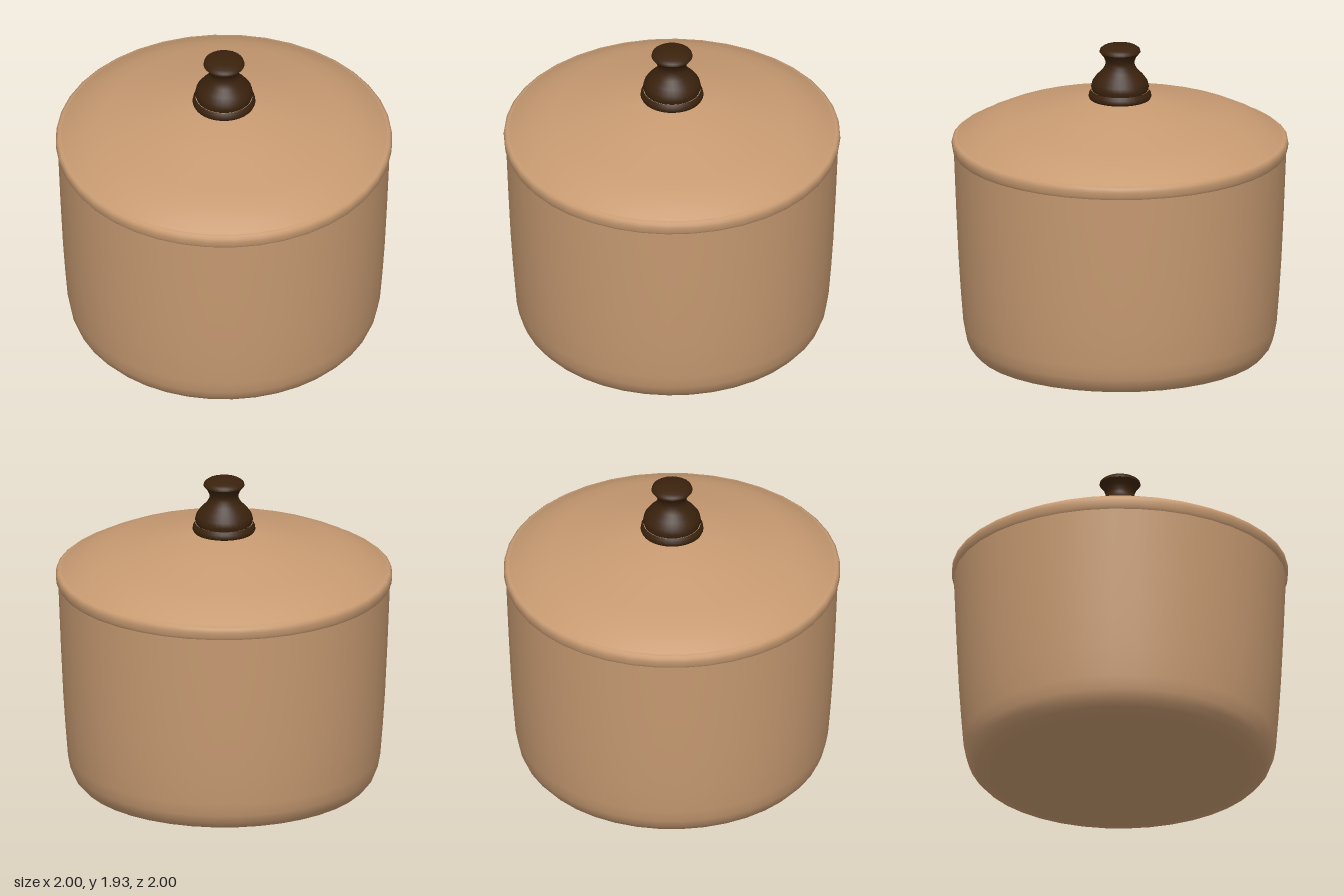
import * as THREE from 'three';

const clay = new THREE.MeshStandardMaterial({ color: 0xc89b72 });
clay.name = 'tan enamel';
const wood = new THREE.MeshStandardMaterial({ color: 0x3a220d });
wood.name = 'dark wood';

// Revolves a bottom-to-top profile of [radius, height] pairs
function turned(name, profile, material, segments = 40) {
  const points = profile.map(([r, y]) => new THREE.Vector2(r, y));
  const mesh = new THREE.Mesh(new THREE.LatheGeometry(points, segments), material);
  mesh.name = name;
  return mesh;
}

export function createModel() {
  const pot = new THREE.Group();
  pot.name = 'lidded pot';

  // Underside, nearly flat
  pot.add(turned('base', [[0, 0], [0.4, 0.008], [0.78, 0.018]], clay));

  // Gently flared wall with a rounded foot
  pot.add(turned('body', [
    [0.78, 0.018], [0.86, 0.04], [0.895, 0.08], [0.915, 0.13], [0.93, 0.21],
    [0.945, 0.4], [0.958, 0.6], [0.972, 0.9], [0.982, 1.15], [0.987, 1.28],
  ], clay));

  // Rounded band where the lid meets the wall
  pot.add(turned('rim', [
    [0.987, 1.275], [0.996, 1.29], [1, 1.32], [0.997, 1.343], [0.985, 1.353], [0.97, 1.357],
  ], clay));

  // Shallow conical lid with a curved shoulder
  pot.add(turned('lid', [
    [0.97, 1.357], [0.9, 1.4], [0.81, 1.443], [0.7, 1.478],
    [0.45, 1.54], [0.19, 1.603], [0, 1.606],
  ], clay));

  // Turned knob: foot ring, bulb, waist and cap
  const knob = new THREE.Group();
  knob.name = 'knob';
  knob.add(turned('knobFoot', [
    [0, 1.6], [0.18, 1.6], [0.187, 1.615], [0.184, 1.635], [0.17, 1.652],
  ], wood, 32));
  knob.add(turned('knobStem', [
    [0.165, 1.65], [0.172, 1.675], [0.165, 1.705], [0.14, 1.74], [0.105, 1.775],
    [0.088, 1.805], [0.086, 1.83], [0.098, 1.86], [0.122, 1.89],
  ], wood, 32));
  knob.add(turned('knobCap', [
    [0.122, 1.89], [0.118, 1.905], [0.1, 1.918], [0.06, 1.928], [0, 1.932],
  ], wood, 32));
  pot.add(knob);

  return pot;
}
